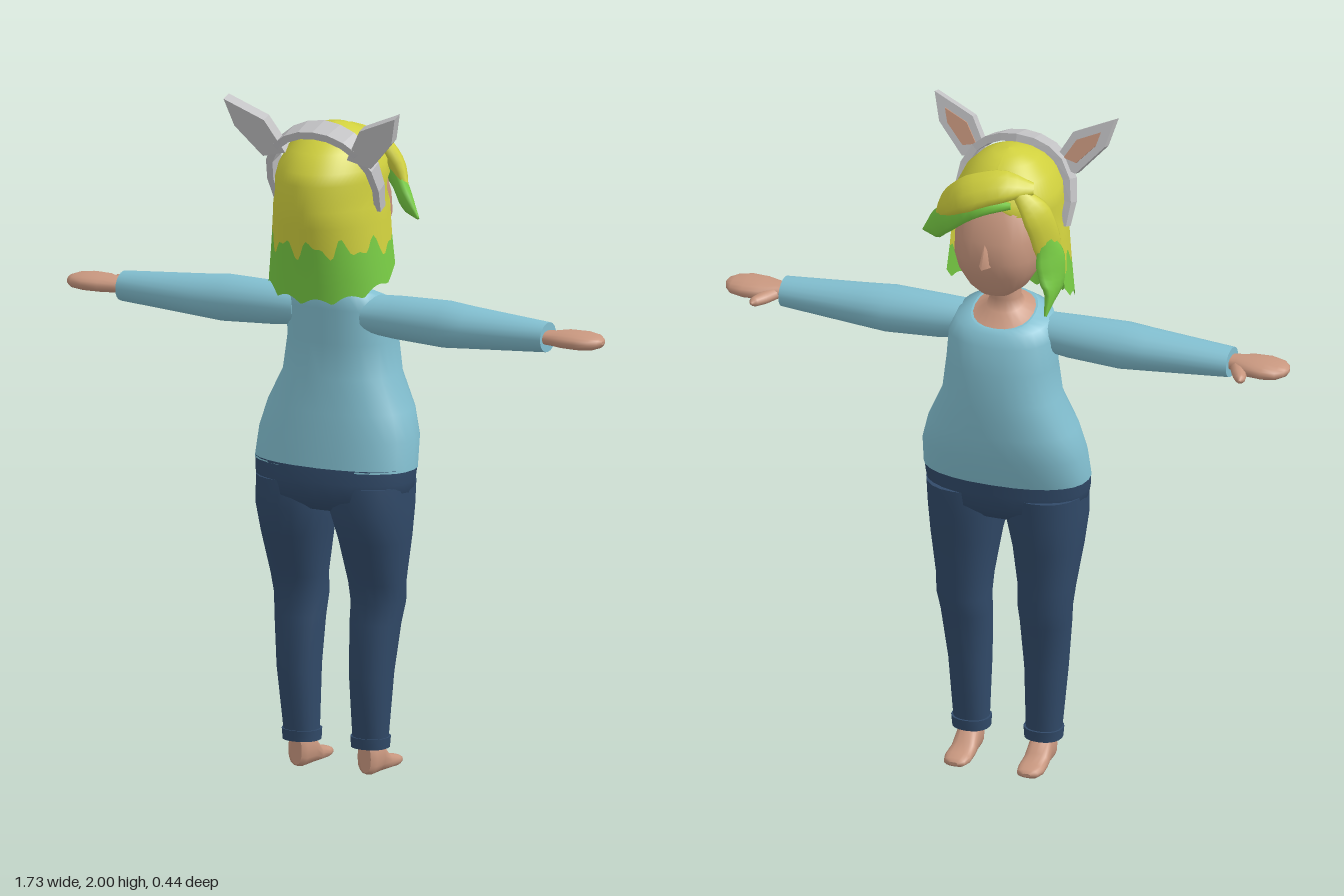
import * as THREE from 'three';

const V = (x, y, z) => new THREE.Vector3(x, y, z);
const mat = (name, color, side = THREE.FrontSide) => {
  const m = new THREE.MeshStandardMaterial({ color, side });
  m.name = name;
  return m;
};

// Skin a list of point rings; ends are capped with their own vertices so they stay crisp
function loft(rings, closed = true, flat = false) {
  const n = rings[0].length, pos = [], idx = [];
  rings.forEach(r => r.forEach(p => pos.push(p.x, p.y, p.z)));
  for (let i = 0; i < rings.length - 1; i++) {
    for (let j = 0; j < (closed ? n : n - 1); j++) {
      const a = i * n + j, b = i * n + (j + 1) % n;
      idx.push(a, b, a + n, b, b + n, a + n);
    }
  }
  if (closed) [rings[0], rings[rings.length - 1]].forEach((r, end) => {
    const base = pos.length / 3;
    const c = r.reduce((s, p) => s.add(p), V(0, 0, 0)).divideScalar(n);
    [...r, c].forEach(p => pos.push(p.x, p.y, p.z));
    for (let j = 0; j < n; j++) {
      const a = base + j, b = base + (j + 1) % n;
      end ? idx.push(a, b, base + n) : idx.push(b, a, base + n);
    }
  });
  let g = new THREE.BufferGeometry();
  g.setAttribute('position', new THREE.Float32BufferAttribute(pos, 3));
  g.setIndex(idx);
  if (flat) g = g.toNonIndexed();
  g.computeVertexNormals();
  return g;
}

// Rounded section given by its extents; axis is the direction the sections advance in
// y: [y, x0, x1, z0, z1, tilt]   x: [x, y0, y1, z0, z1]   -z: [z, x0, x1, y0, y1]
function body(axis, sections, power = 0.9, n = 20) {
  const sp = v => Math.sign(v) * Math.abs(v) ** power;
  return loft(sections.map(([t, a0, a1, b0, b1, tilt = 0]) =>
    Array.from({ length: n }, (_, j) => {
      const q = j / n * Math.PI * 2, c = sp(Math.cos(q)), s = sp(Math.sin(q));
      const a = (a0 + a1) / 2 + (a1 - a0) / 2 * c, mb = (b0 + b1) / 2, hb = (b1 - b0) / 2;
      if (axis === 'y') return V(a, t - tilt * s, mb - hb * s);
      if (axis === 'x') return V(t, a, mb + hb * s);
      return V(a, mb - hb * s, t);
    })));
}

// Flattened strand along a path that hugs a centre; sizes are [width, thickness] per point
function strand(points, sizes, centre, steps = 14, n = 10, flat = false) {
  const curve = new THREE.CatmullRomCurve3(points.map(p => V(...p)));
  return loft(Array.from({ length: steps + 1 }, (_, i) => {
    const t = i / steps, c = curve.getPoint(t), d = curve.getTangent(t);
    const k = Math.min(t * (sizes.length - 1), sizes.length - 1.0001), f = Math.floor(k);
    const [w, h] = [0, 1].map(e => THREE.MathUtils.lerp(sizes[f][e], sizes[f + 1][e], k - f));
    const out = c.clone().sub(centre);
    out.addScaledVector(d, -out.dot(d)).normalize();
    const side = d.clone().cross(out);
    return Array.from({ length: n }, (_, j) => {
      const q = (j + 0.5) / n * Math.PI * 2;
      return c.clone().addScaledVector(out, Math.cos(q) * h).addScaledVector(side, Math.sin(q) * w);
    });
  }), true, flat);
}

function mirrored(g) {
  const m = (g.index ? g.toNonIndexed() : g.clone()).scale(-1, 1, 1);
  for (const key of ['position', 'normal']) {
    const at = m.attributes[key];
    for (let i = 0; i < at.count; i += 3) {
      const b = V().fromBufferAttribute(at, i + 1), c = V().fromBufferAttribute(at, i + 2);
      at.setXYZ(i + 1, c.x, c.y, c.z);
      at.setXYZ(i + 2, b.x, b.y, b.z);
    }
  }
  return m;
}

// Piecewise linear lookup in rows of [y, ...values], y descending
function lookup(rows, y, col) {
  let i = 0;
  while (i < rows.length - 2 && y < rows[i + 1][0]) i++;
  const t = THREE.MathUtils.clamp((rows[i][0] - y) / (rows[i][0] - rows[i + 1][0]), 0, 1);
  return THREE.MathUtils.lerp(rows[i][col], rows[i + 1][col], t);
}

export function createModel() {
  const model = new THREE.Group();
  model.name = 'standingFigure';
  const skin = mat('skin', 0xc8977f), shirt = mat('shirtBlue', 0x82bfd0), denim = mat('denim', 0x314a69);
  const yellow = mat('hairYellow', 0xd0d03e, THREE.DoubleSide);
  const green = mat('hairGreen', 0x78cc44, THREE.DoubleSide);
  const grey = mat('bandGrey', 0xc2c2c4);
  const add = (name, g, m) => {
    const mesh = new THREE.Mesh(g, m);
    mesh.name = name;
    model.add(mesh);
  };
  const pair = (name, g, m) => { add(name + 'Left', g, m); add(name + 'Right', mirrored(g), m); };

  // Shirt, neck and head (the figure looks toward -z)
  add('shirt', body('y', [
    [0.915, -0.25, 0.25, -0.147, 0.127], [1.0, -0.245, 0.245, -0.175, 0.115],
    [1.08, -0.222, 0.222, -0.186, 0.103], [1.18, -0.175, 0.175, -0.186, 0.085],
    [1.28, -0.162, 0.162, -0.182, 0.076], [1.37, -0.16, 0.16, -0.162, 0.083, 0.015],
    [1.415, -0.14, 0.14, -0.143, 0.078, 0.025], [1.43, -0.095, 0.095, -0.125, 0.055, 0.03]], 0.85, 28), shirt);
  add('neck', body('y', [
    [1.428, -0.095, 0.095, -0.125, 0.055, 0.03], [1.447, -0.055, 0.055, -0.08, 0.03, 0.012],
    [1.47, -0.045, 0.045, -0.068, 0.018], [1.56, -0.045, 0.045, -0.068, 0.018]]), skin);
  add('head', body('y', [
    [1.515, -0.05, 0.05, -0.14, -0.03], [1.54, -0.085, 0.085, -0.16, 0.02],
    [1.59, -0.115, 0.115, -0.187, 0.06], [1.64, -0.128, 0.128, -0.2, 0.08],
    [1.7, -0.13, 0.13, -0.192, 0.1], [1.78, -0.122, 0.122, -0.16, 0.1],
    [1.86, -0.08, 0.08, -0.09, 0.08]], 0.78, 24), skin);
  const nose = new THREE.ConeGeometry(0.03, 0.07, 3).scale(1, 1, 0.9).rotateY(Math.PI);
  add('nose', nose.translate(0, 1.665, -0.198), skin);

  // Trousers with turned-up cuffs
  add('hips', body('y', [
    [0.79, -0.19, 0.19, -0.1, 0.09], [0.83, -0.235, 0.235, -0.14, 0.135],
    [0.88, -0.245, 0.245, -0.143, 0.133], [0.922, -0.249, 0.249, -0.146, 0.126]], 0.85, 28), denim);
  pair('trouserLeg', body('y', [
    [0.08, 0.06, 0.162, -0.055, 0.037], [0.3, 0.055, 0.18, -0.073, 0.065],
    [0.45, 0.047, 0.197, -0.09, 0.05], [0.51, 0.045, 0.204, -0.11, 0.043],
    [0.57, 0.042, 0.21, -0.102, 0.055], [0.7, 0.024, 0.228, -0.122, 0.1],
    [0.79, 0.004, 0.237, -0.136, 0.13], [0.87, 0.0, 0.24, -0.138, 0.12]]), denim);
  pair('trouserCuff', body('y', [
    [0.08, 0.055, 0.167, -0.062, 0.043], [0.112, 0.053, 0.17, -0.064, 0.045]]), denim);

  // Bare feet
  pair('foot', body('z', [
    [0.025, 0.095, 0.13, 0.008, 0.09], [0.012, 0.08, 0.145, 0, 0.1], [-0.035, 0.076, 0.147, 0, 0.095],
    [-0.075, 0.074, 0.15, 0, 0.05], [-0.12, 0.073, 0.153, 0, 0.036],
    [-0.147, 0.08, 0.145, 0.003, 0.03], [-0.156, 0.1, 0.125, 0.01, 0.02]], 0.8, 16), skin);

  // Sleeves and hands
  pair('sleeve', body('x', [
    [0.11, 1.31, 1.42, -0.07, 0.06], [0.2, 1.3, 1.425, -0.08, 0.062], [0.36, 1.292, 1.428, -0.088, 0.07],
    [0.44, 1.298, 1.42, -0.082, 0.066], [0.69, 1.315, 1.402, -0.056, 0.045]], 1), shirt);
  pair('hand', body('x', [
    [0.66, 1.34, 1.378, -0.03, 0.028], [0.71, 1.338, 1.38, -0.04, 0.035], [0.75, 1.335, 1.385, -0.066, 0.048],
    [0.8, 1.335, 1.385, -0.072, 0.053], [0.84, 1.338, 1.38, -0.06, 0.042],
    [0.86, 1.345, 1.373, -0.035, 0.02], [0.867, 1.355, 1.365, -0.015, 0]], 0.9, 16), skin);
  pair('thumb', strand([[0.71, 1.355, -0.015], [0.735, 1.353, -0.065], [0.75, 1.353, -0.098], [0.753, 1.353, -0.113]],
    [[0.022, 0.018], [0.022, 0.018], [0.015, 0.014], [0.003, 0.003]], V(0.73, 1, -0.05)), skin);

  // Hair shell: rows of [y, half width, back depth, front depth, half opening angle]
  const P = Math.PI, shape = [
    [1.925, 0, 0, 0, P], [1.918, 0.045, 0.05, 0.045, P], [1.9, 0.085, 0.1, 0.085, P],
    [1.86, 0.125, 0.165, 0.13, P], [1.81, 0.15, 0.205, 0.158, P], [1.775, 0.158, 0.217, 0.165, 0.85 * P],
    [1.7, 0.164, 0.22, 0.16, 0.58 * P], [1.6, 0.175, 0.202, 0.15, 0.56 * P],
    [1.5, 0.188, 0.185, 0.14, 0.56 * P], [1.4, 0.2, 0.172, 0.13, 0.54 * P]];
  const cols = 64;
  const hairRow = height => Array.from({ length: cols + 1 }, (_, j) => {
    const s = j / cols * 2 - 1, y = height(s), q = s * lookup(shape, y, 4), c = Math.cos(q);
    return V(Math.sin(q) * lookup(shape, y, 1), y, c * lookup(shape, y, c > 0 ? 2 : 3));
  });
  const dye = s => 1.585 + 0.022 * Math.sin(s * 21) + 0.014 * Math.sin(s * 37 + 1);
  const hem = s => 1.425 + 0.085 * s * s + 0.02 * Math.abs(Math.sin(s * 11 + 0.6)) - 0.01;
  const mix = t => s => THREE.MathUtils.lerp(dye(s), hem(s), t);
  const tops = [...shape.slice(0, 7).map(r => r[0]), 1.65].map(y => hairRow(() => y));
  add('hairCrown', loft([...tops, hairRow(dye)], false), yellow);
  add('hairDyedEnds', loft([0, 0.35, 0.7, 1].map(t => hairRow(mix(t))), false), green);

  // Swept fringe and the long lock framing the face
  const skull = V(0, 1.7, 0);
  add('fringe', strand([[-0.11, 1.85, -0.09], [-0.03, 1.86, -0.125], [0.07, 1.83, -0.145], [0.14, 1.78, -0.125], [0.185, 1.72, -0.09]],
    [[0.02, 0.01], [0.055, 0.03], [0.06, 0.032], [0.045, 0.025], [0.01, 0.008]], skull), yellow);
  add('fringeTip', strand([[-0.06, 1.81, -0.145], [0.04, 1.8, -0.16], [0.13, 1.745, -0.135], [0.19, 1.69, -0.085], [0.242, 1.65, -0.055]],
    [[0.01, 0.008], [0.035, 0.02], [0.045, 0.022], [0.045, 0.02], [0.004, 0.004]], skull), green);
  add('sideLock', strand([[-0.07, 1.85, -0.12], [-0.125, 1.78, -0.11], [-0.15, 1.68, -0.085], [-0.155, 1.6, -0.07]],
    [[0.02, 0.015], [0.05, 0.022], [0.05, 0.02], [0.03, 0.015]], skull), yellow);
  add('sideLockTip', strand([[-0.145, 1.73, -0.1], [-0.16, 1.63, -0.085], [-0.168, 1.55, -0.095], [-0.165, 1.475, -0.14]],
    [[0.02, 0.012], [0.055, 0.022], [0.05, 0.02], [0.004, 0.004]], skull), green);

  // Headband, a faceted arch
  const half = [[0.162, 1.69, 0.03], [0.168, 1.79, 0.065], [0.13, 1.868, 0.092], [0.07, 1.907, 0.1]];
  const arch = [...half, [0, 1.92, 0.1], ...half.map(([x, y, z]) => [-x, y, z]).reverse()];
  add('headband', strand(arch, [[0.025, 0.014], [0.045, 0.016], [0.058, 0.016], [0.045, 0.016], [0.025, 0.014]],
    V(0, 1.72, 0.05), 12, 4, true), grey);

  // Animal ears with coloured inner plates
  const earPart = (pts, depth, z) => new THREE.ExtrudeGeometry(
    new THREE.Shape(pts.map(p => new THREE.Vector2(...p))), { depth, bevelEnabled: false })
    .translate(0, 0, z).rotateX(0.28).translate(0, 1.85, 0.1);
  pair('ear', earPart([[0.1, 0], [0.175, -0.02], [0.255, 0.07], [0.278, 0.155], [0.155, 0.1]], 0.034, -0.015), grey);
  pair('earInner', earPart([[0.135, 0.022], [0.175, 0.012], [0.228, 0.07], [0.24, 0.112], [0.17, 0.08]], 0.006, -0.02), skin);
  return model;
}
